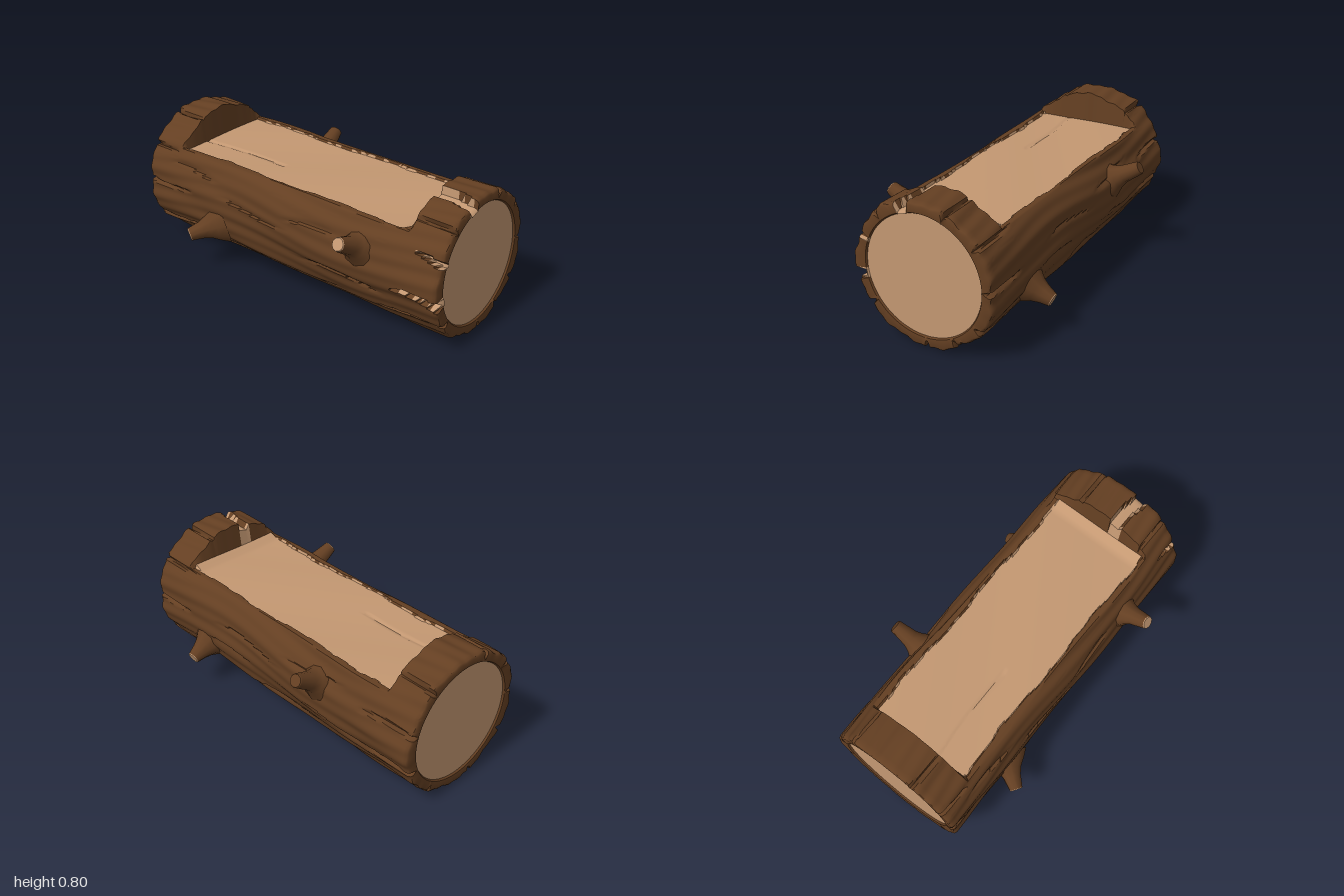
import * as THREE from 'three';
import { toCreasedNormals } from 'three/addons/utils/BufferGeometryUtils.js';

const CY = 0.388;          // height of the log's axis
const SEG = 240;           // steps around the log
const RAD = Math.PI / 180;
const smooth = THREE.MathUtils.smoothstep;

// Splits at the log ends: [end, angle from the front in degrees, half width, length, bare wood shows]
const SPLITS = [
  [1, 75, 0.036, 0.26, true], [1, 24, 0.016, 0.19, true], [1, -9, 0.032, 0.29, true],
  [1, 110, 0.014, 0.3], [1, 47, 0.013, 0.25], [1, -36, 0.014, 0.4], [1, -93, 0.014, 0.25],
  [1, 143, 0.014, 0.3], [1, 178, 0.016, 0.3], [1, 213, 0.014, 0.35], [1, 240, 0.012, 0.2],
  [-1, 69, 0.013, 0.25], [-1, 129, 0.014, 0.25], [-1, 35, 0.012, 0.2], [-1, 3, 0.014, 0.35],
  [-1, -33, 0.016, 0.45], [-1, -75, 0.013, 0.3], [-1, 165, 0.014, 0.35], [-1, 200, 0.015, 0.3],
  [-1, 235, 0.013, 0.3],
];

// Fine cracks along the bark: [x, angle, half length]
const CRACKS = [
  [-0.65, 20, 0.2], [-0.2, 5, 0.28], [0.2, 12, 0.2], [0.4, -20, 0.3], [0.1, -40, 0.35], [-0.5, -50, 0.3],
  [-0.3, 160, 0.25], [0.2, 172, 0.3], [0.35, 190, 0.2], [-0.5, 195, 0.3], [0.0, 212, 0.35], [0.3, 235, 0.3],
  [-0.3, 255, 0.35], [0.3, 275, 0.3],
];

// Signed arc distance between two angles on the log surface
const arc = (a, deg) => {
  const d = a - deg * RAD;
  return Math.atan2(Math.sin(d), Math.cos(d)) * 0.39;
};

// True where a split is wide enough to bare the wood
const bared = (x, a) => SPLITS.some(([end, deg, w, len, open]) => {
  const t = 1 - (1 - x * end) / len;
  const width = deg === 75 ? w : w * t;
  return open && t > 0 && Math.abs(arc(a, deg + 2 * Math.sin(x * 17))) < width;
});

// Outer radius of the bark
function barkRadius(x, a) {
  if (bared(x, a)) return 0.345;
  let r = 0.388 + 0.005 * Math.sin(7 * a + 2 * Math.sin(2.3 * x))
    + 0.004 * Math.sin(13 * a + 3 * Math.sin(1.7 * x + 1))
    + 0.003 * Math.sin(29 * a + 2.5 * Math.sin(4 * x))
    + 0.003 * Math.sin(9 * x + 5 * a) + 0.008 * Math.cos(a) ** 2;
  for (const [end, deg, w, len, open] of SPLITS) {
    const t = 1 - (1 - x * end) / len;
    if (t <= 0 || open) continue;
    const d = Math.abs(arc(a, deg + 2 * Math.sin(x * 9)));
    r -= 0.032 * Math.sqrt(t) * (1 - smooth(d, 0.003, w));
  }
  for (const [cx, deg, half] of CRACKS) {
    const t = 1 - Math.abs(x - cx) / half;
    if (t <= 0) continue;
    const d = arc(a, deg + 3 * Math.sin(x * 8 + deg));
    // a sharp step on one side and a gentle slope on the other
    if (d > 0) r -= 0.011 * Math.min(1, t * 2) * (1 - smooth(d, 0, 0.035));
  }
  return r;
}

// Stations along the log; fixed radii form the end faces, the rest follow the bark
function makeRows() {
  const rows = [];
  for (let i = 0; i <= 100; i++) {
    const x = -0.975 + 1.95 * i / 100;
    if (Math.abs(x + 0.78) > 0.012 && Math.abs(x - 0.77) > 0.012) rows.push({ x });
  }
  rows.push({ x: -0.784 }, { x: -0.772, notch: true }, { x: 0.765, notch: true }, { x: 0.78 });
  rows.sort((p, q) => p.x - q.x);
  for (const row of rows) row.notch = row.x > -0.775 && row.x < 0.77;
  const face = (s) => [
    { x: s * 0.984, r: 0, face: true }, { x: s * 0.984, r: 0.328, face: true },
    { x: s * 0.994, r: 0.334 }, { x: s * 0.998, inset: 0.016 }, { x: s * 0.992, inset: 0.006 },
  ];
  return [...face(-1), ...rows, ...face(1).reverse()];
}

// Whether a point of the cut-out belongs to the bare seat
const onSeat = (x, z) => Math.abs(z) < 0.284 + 0.008 * Math.sin(x * 9 + (z > 0 ? 2 : 0)) + 0.004 * Math.sin(x * 31);

function pointOn(row, a) {
  const { x } = row;
  const r = row.r !== undefined ? row.r : barkRadius(x, a) - (row.inset || 0);
  let y = CY + r * Math.sin(a);
  const z = r * Math.cos(a);
  if (row.notch) {
    let top = 0.622;
    if (onSeat(x, z)) {
      top = 0.61 + 0.003 * Math.sin(5 * x + 8 * z) + 0.03 * smooth(x, 0.7, 0.77);
      const split = Math.abs(z - 0.13 - 0.03 * Math.sin(4 * x));
      if (x < -0.2) top -= 0.006 * (1 - smooth(split, 0.002, 0.015));
    }
    y = Math.min(y, top);
  }
  return [x, y, z];
}

// Builds the log skin and sorts its faces into bark and bare wood
function makeLog() {
  const rows = makeRows(), pos = [], bark = [], wood = [];
  for (const row of rows) {
    for (let j = 0; j < SEG; j++) pos.push(...pointOn(row, j / SEG * Math.PI * 2));
  }
  for (let i = 0; i < rows.length - 1; i++) {
    const p = rows[i], q = rows[i + 1], x = (p.x + q.x) / 2;
    for (let j = 0; j < SEG; j++) {
      const k = (j + 1) % SEG, angle = (j + 0.5) / SEG * Math.PI * 2;
      const a = i * SEG + j, b = a + SEG, c = (i + 1) * SEG + k, d = i * SEG + k;
      const z = (pos[a * 3 + 2] + pos[d * 3 + 2]) / 2;
      const seat = p.notch && q.notch && Math.sin(angle) > 0.5 && onSeat(x, z);
      const bare = (p.face && q.face) || seat || (!(p.notch && q.notch) && bared(x, angle));
      (bare ? wood : bark).push(a, b, c, a, c, d);
    }
  }
  return [bark, wood].map((index) => {
    const g = new THREE.BufferGeometry();
    g.setAttribute('position', new THREE.Float32BufferAttribute(pos, 3));
    g.setIndex(index);
    return toCreasedNormals(g, 0.7);
  });
}

// A broken branch flaring into the log, with a flat cut tip
function makeStub(base, tip, barkMat, tipMat) {
  const from = new THREE.Vector3(...base), to = new THREE.Vector3(...tip);
  const len = from.distanceTo(to);
  const profile = [[0.125, -0.03], [0.095, 0.02], [0.066, 0.06], [0.05, 0.1], [0.037, len]]
    .map(([r, y]) => new THREE.Vector2(r, y));
  const stub = new THREE.Group();
  stub.name = 'branchStub';
  const side = new THREE.Mesh(new THREE.LatheGeometry(profile, 10), barkMat);
  side.name = 'stubBark';
  const cut = new THREE.Mesh(new THREE.CylinderGeometry(0.034, 0.037, 0.005, 10), tipMat);
  cut.name = 'stubTip';
  cut.position.y = len + 0.0025;
  stub.add(side, cut);
  stub.position.copy(from);
  stub.quaternion.setFromUnitVectors(new THREE.Vector3(0, 1, 0), to.sub(from).normalize());
  return stub;
}

export function createModel() {
  const barkMat = new THREE.MeshStandardMaterial({ color: 0x643f22 });
  barkMat.name = 'bark brown';
  const woodMat = new THREE.MeshStandardMaterial({ color: 0xc49872 });
  woodMat.name = 'bare wood';

  const model = new THREE.Group();
  model.name = 'logBench';
  const [barkGeo, woodGeo] = makeLog();
  const bark = new THREE.Mesh(barkGeo, barkMat);
  bark.name = 'barkShell';
  const wood = new THREE.Mesh(woodGeo, woodMat);
  wood.name = 'seatAndEndWood';
  model.add(bark, wood);

  // Branch stubs: two in front, two behind
  model.add(
    makeStub([0.51, 0.465, 0.35], [0.505, 0.55, 0.522], barkMat, woodMat),
    makeStub([-0.5, 0.25, 0.345], [-0.59, 0.205, 0.482], barkMat, woodMat),
    makeStub([-0.34, 0.465, -0.35], [-0.355, 0.565, -0.525], barkMat, barkMat),
    makeStub([0.58, 0.25, -0.345], [0.575, 0.192, -0.482], barkMat, woodMat),
  );
  return model;
}
